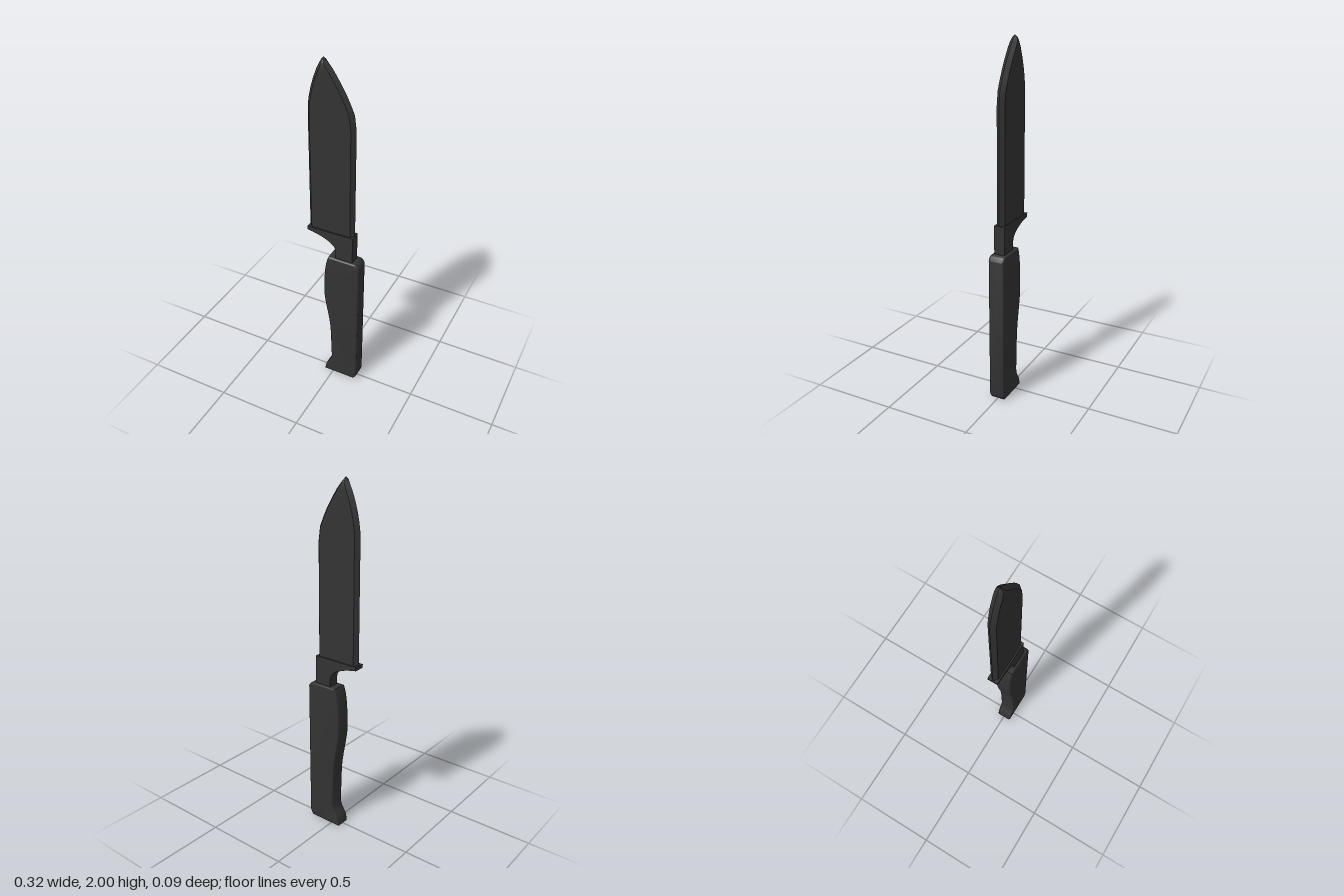
import * as THREE from 'three';
import { mergeVertices, toCreasedNormals } from 'three/addons/utils/BufferGeometryUtils.js';

const material = new THREE.MeshStandardMaterial({ color: 0x333333 });

function addPart(group, name, geometry, crease) {
  const mesh = new THREE.Mesh(toCreasedNormals(geometry, crease), material);
  mesh.name = name;
  group.add(mesh);
}

// Extrudes an outline to a total half thickness, with rounded edges inside it.
function slab(shape, half, bevel) {
  const geometry = new THREE.ExtrudeGeometry(shape, {
    depth: 2 * (half - bevel), curveSegments: 8,
    bevelEnabled: bevel > 0, bevelSize: bevel, bevelThickness: bevel,
    bevelOffset: -bevel, bevelSegments: 3,
  });
  return geometry.translate(0, 0, bevel - half);
}

// Blade: hexagonal sections stacked up to the tip.
function bladeGeometry() {
  // y, left edge, right edge, half thickness
  const rows = [
    [1.03, -0.157, 0.113, 0.023], [1.66, -0.157, 0.111, 0.023],
    [1.74, -0.156, 0.1, 0.023], [1.79, -0.149, 0.078, 0.023],
    [1.84, -0.138, 0.053, 0.023], [1.89, -0.123, 0.023, 0.023],
    [1.94, -0.104, -0.01, 0.023], [1.97, -0.089, -0.034, 0.021],
    [1.988, -0.078, -0.052, 0.014], [2, -0.067, -0.064, 0.002],
  ];
  const positions = [], index = [];
  for (const [y, a, b, t] of rows) {
    const e = Math.min(0.02, (b - a) * 0.35);
    for (const [x, z] of [[a, 0], [a + e, t], [b - e, t], [b, 0], [b - e, -t], [a + e, -t]])
      positions.push(x, y, z);
  }
  for (let r = 0; r < rows.length - 1; r++)
    for (let i = 0; i < 6; i++) {
      const p = r * 6 + i, q = r * 6 + (i + 1) % 6;
      index.push(p, q, q + 6, p, q + 6, p + 6);
    }
  const top = (rows.length - 1) * 6;
  for (let i = 1; i < 5; i++) {
    index.push(0, i + 1, i);
    index.push(top, top + i, top + i + 1);
  }
  const geometry = new THREE.BufferGeometry();
  geometry.setAttribute('position', new THREE.Float32BufferAttribute(positions, 3));
  geometry.setIndex(index);
  return mergeVertices(geometry);
}

// Bolster: a thin collar under the blade that sweeps into the neck.
function bolsterShape() {
  const s = new THREE.Shape();
  s.moveTo(0.113, 0.85);
  s.lineTo(0.113, 1.035);
  s.lineTo(-0.16, 1.035);
  s.lineTo(-0.16, 1.014);
  s.bezierCurveTo(-0.08, 1.003, 0.013, 0.97, 0.013, 0.92);
  s.lineTo(0.013, 0.85);
  return s;
}

// Handle: straight back, swelling grip and flared foot.
function handleShape() {
  const s = new THREE.Shape();
  s.moveTo(-0.055, 0);
  s.lineTo(0.135, 0);
  s.quadraticCurveTo(0.15, 0.008, 0.157, 0.035);
  s.lineTo(0.157, 0.845);
  s.quadraticCurveTo(0.152, 0.866, 0.132, 0.875);
  s.lineTo(-0.028, 0.875);
  s.bezierCurveTo(-0.052, 0.82, -0.056, 0.74, -0.055, 0.6);
  s.bezierCurveTo(-0.048, 0.52, -0.018, 0.42, -0.016, 0.32);
  s.lineTo(-0.01, 0.13);
  s.bezierCurveTo(-0.012, 0.08, -0.048, 0.06, -0.05, 0.03);
  return s;
}

export function createModel() {
  const group = new THREE.Group();
  group.name = 'knife';
  addPart(group, 'blade', bladeGeometry(), 0.6);
  addPart(group, 'bolster', slab(bolsterShape(), 0.031, 0), 0.6);
  addPart(group, 'handle', slab(handleShape(), 0.045, 0.01), 0.6);
  return group;
}
